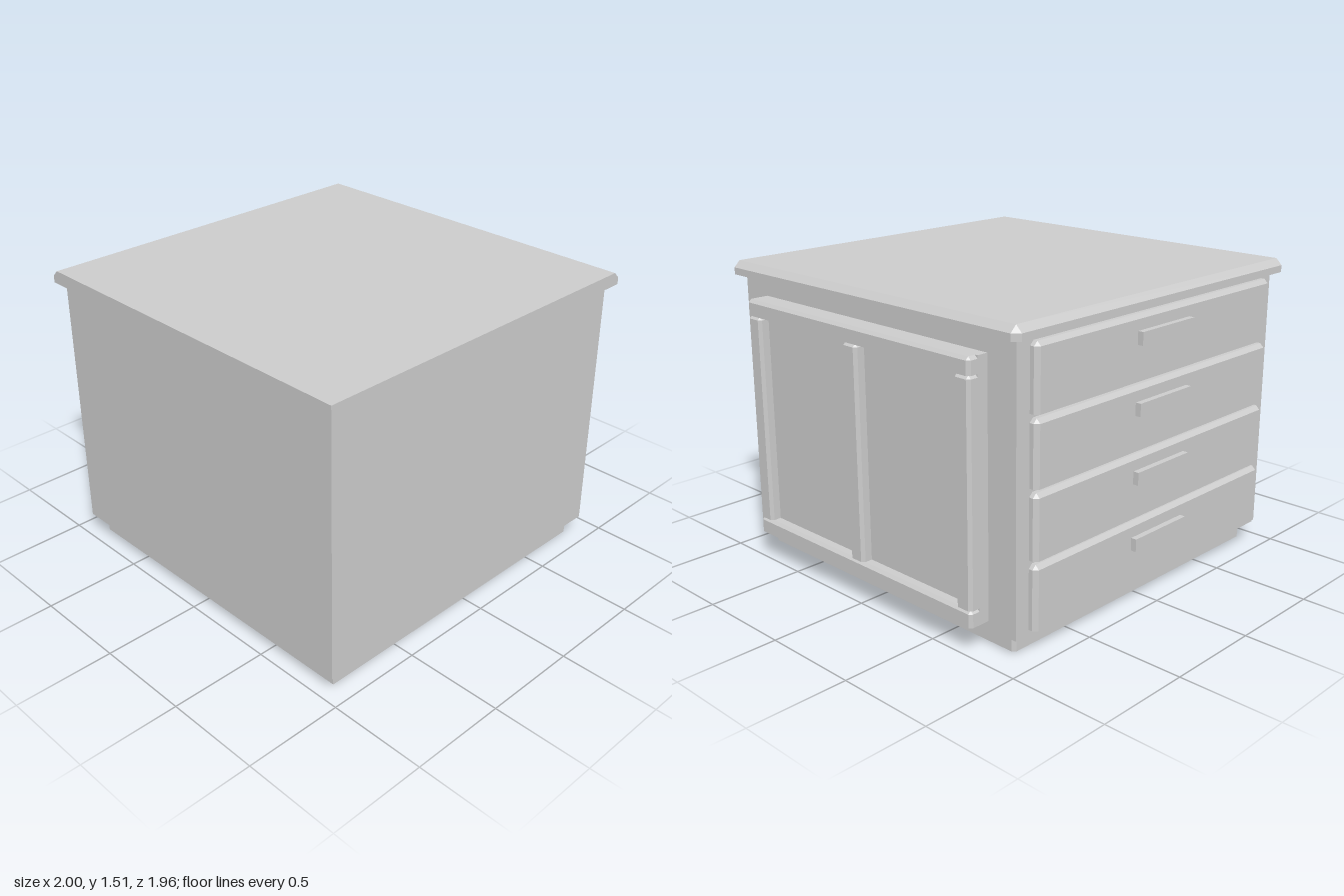
import * as THREE from 'three';
import { ConvexGeometry } from 'three/addons/geometries/ConvexGeometry.js';

export function createModel() {
  const model = new THREE.Group();
  model.name = 'drawerCabinet';
  const grey = new THREE.MeshStandardMaterial({ color: 0xcccccc, side: THREE.DoubleSide });
  grey.name = 'lightGrey';

  const add = (name, geometry, parent = model) => {
    const mesh = new THREE.Mesh(geometry, grey);
    mesh.name = name;
    parent.add(mesh);
  };

  // Flat faces from convex polygons, each split into a fan of triangles
  const faces = (polygons) => {
    const positions = [];
    for (const p of polygons)
      for (let i = 1; i < p.length - 1; i++) positions.push(...p[0], ...p[i], ...p[i + 1]);
    const geometry = new THREE.BufferGeometry();
    geometry.setAttribute('position', new THREE.Float32BufferAttribute(positions, 3));
    geometry.computeVertexNormals();
    return geometry;
  };

  // Open walls joining a stack of closed outlines
  const walls = (rings) => {
    const polygons = [];
    for (let r = 0; r < rings.length - 1; r++)
      rings[r].forEach((p, k) => {
        const n = (k + 1) % rings[r].length;
        polygons.push([p, rings[r][n], rings[r + 1][n], rings[r + 1][k]]);
      });
    return faces(polygons);
  };

  // Open shell with only top, +x and -z faces, and chamfers of size c between them
  const shell = (x0, x1, y0, y1, z0, z1, c) => {
    const polygons = [
      [[x0, y1, z1], [x1 - c, y1, z1], [x1 - c, y1, z0 + c], [x0, y1, z0 + c]],
      [[x1, y0, z1], [x1, y0, z0 + c], [x1, y1 - c, z0 + c], [x1, y1 - c, z1]],
      [[x0, y0, z0], [x0, y1 - c, z0], [x1 - c, y1 - c, z0], [x1 - c, y0, z0]],
    ];
    if (c > 0) polygons.push(
      [[x1, y1 - c, z1], [x1, y1 - c, z0 + c], [x1 - c, y1, z0 + c], [x1 - c, y1, z1]],
      [[x0, y1 - c, z0], [x0, y1, z0 + c], [x1 - c, y1, z0 + c], [x1 - c, y1 - c, z0]],
      [[x1 - c, y0, z0], [x1 - c, y1 - c, z0], [x1, y1 - c, z0 + c], [x1, y0, z0 + c]],
      [[x1, y1 - c, z0 + c], [x1 - c, y1 - c, z0], [x1 - c, y1, z0 + c]],
    );
    return faces(polygons);
  };

  // Body: four thin walls, open underneath
  const bodyRing = (y) => [[-0.96, y, 0.938], [0.89, y, 0.938], [0.89, y, -0.911], [-0.96, y, -0.911]];
  add('body', walls([bodyRing(0.098), bodyRing(1.444)]));

  // Plinth: thin open walls with a chamfered upper edge
  const c = 0.015;
  const plinthRing = (y, i) => [
    [-0.903, y, 0.886], [0.837 - i, y, 0.886], [0.837 - i, y, -0.851 + c],
    [0.837 - c, y, -0.851 + i], [-0.903, y, -0.851 + i],
  ];
  add('plinth', walls([plinthRing(0, 0), plinthRing(0.084, 0), plinthRing(0.099, c)]));

  // Worktop: solid slab, chamfered along its top, +x and -z edges
  const corners = [];
  const bevel = 0.032;
  for (const [a, b, d] of [[0, bevel, bevel], [bevel, 0, bevel], [bevel, bevel, 0]])
    for (const x of [-1, 0.933 - a])
      for (const y of [1.444, 1.511 - b])
        for (const z of [-0.951 + d, 0.979]) corners.push(new THREE.Vector3(x, y, z));
  add('worktop', new ConvexGeometry(corners));

  // Four drawers with bar handles on the back
  for (let i = 0; i < 4; i++) {
    const top = 1.425 - i * 0.33;
    const drawer = new THREE.Group();
    drawer.name = 'drawer' + (i + 1);
    model.add(drawer);
    add('drawerFront', shell(-0.88, 0.81, top - 0.31, top, -0.952, -0.911, 0.02), drawer);
    add('drawerHandle', shell(-0.225, 0.155, top - 0.136, top - 0.073, -0.981, -0.952, 0), drawer);
  }

  // Framed panel on the left side
  const panel = new THREE.Group();
  panel.name = 'sidePanel';
  model.add(panel);
  add('panelBoard', shell(0.89, 0.947, 0.138, 1.36, -0.747, 0.775, 0), panel);
  for (const [name, y0, y1] of [['topRail', 1.28, 1.36], ['bottomRail', 0.138, 0.219]])
    add(name, shell(0.947, 1, y0, y1, -0.747, 0.775, c), panel);
  for (const z of [-0.747, -0.026, 0.695])
    add('stile', shell(0.947, 1, 0.219, 1.28, z, z + 0.08, c), panel);

  return model;
}
